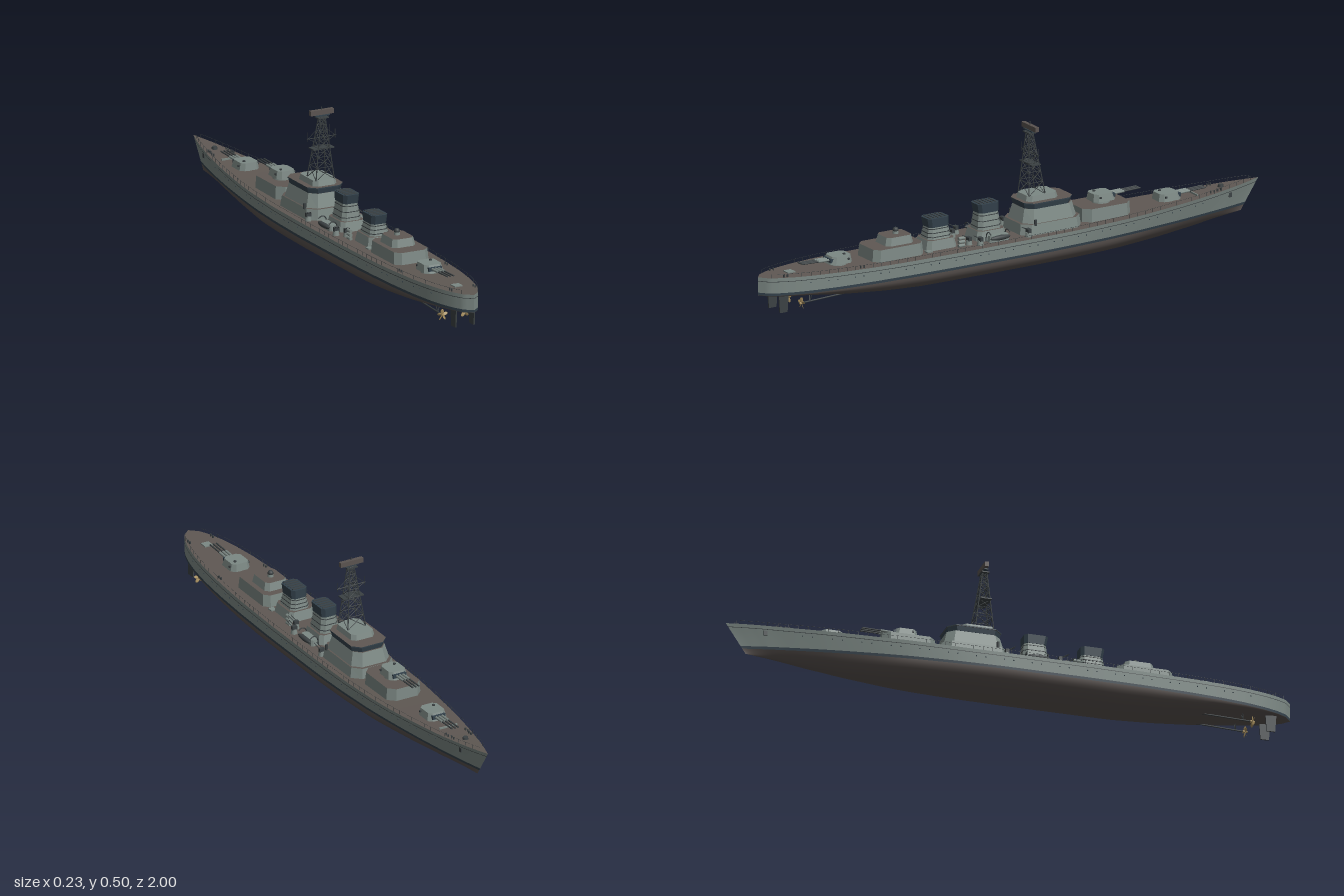
import * as THREE from 'three';
import { mergeGeometries } from 'three/addons/utils/BufferGeometryUtils.js';

const paint = (name, color, side = THREE.FrontSide) => Object.assign(new THREE.MeshStandardMaterial({ color, side }), { name });
const grey = paint('warship grey', 0x7c8884);
const deckBrown = paint('deck brown', 0x5f5853);
const bottom = paint('underbody brown', 0x5a5350);
const navy = paint('dark navy', 0x33414b);
const steel = paint('dark steel', 0x3b4143);
const brass = paint('brass', 0xa48c5c);
const V = (x, y, z) => new THREE.Vector3(x, y, z);
const lerp = THREE.MathUtils.lerp;

// piecewise table lookup
function look(table, z) {
  let i = 1;
  while (i < table.length - 1 && z > table[i][0]) i++;
  const [a, b] = [table[i - 1], table[i]];
  return lerp(a[1], b[1], THREE.MathUtils.clamp((z - a[0]) / (b[0] - a[0]), 0, 1));
}
const BEAM = [[-1, 0], [-.95, .016], [-.9, .03], [-.8, .052], [-.7, .07], [-.6, .084], [-.5, .096], [-.4, .105], [-.25, .112], [-.05, .115],
  [.25, .115], [.45, .111], [.6, .104], [.72, .094], [.82, .08], [.89, .064], [.94, .047], [.975, .029], [1, 0]];
const SHEER = [[-1, .155], [-.8, .143], [-.5, .132], [-.2, .127], [.5, .126], [1, .131]];
const KEEL = [[-1, .05], [-.9, .04], [-.8, .027], [-.65, .013], [-.5, .006], [-.3, .003], [.35, .004], [.5, .012], [.67, .028], [.85, .052], [1, .066]];
const WATER = .068, STRIPE = .077;

const beam = s => look(BEAM, s * 2 - 1), sheer = s => look(SHEER, s * 2 - 1);
const hullZ = (s, y) => lerp(-.93 - .07 * (y - .05) / .105, 1, s);
const waterBeam = s => beam(s) * (s < .45 ? lerp(.62, .98, Math.sqrt(s / .45)) : .98);
// a point on the topsides; y above the water, d pushes it outward
function side(s, y, m = 1, d = 0) {
  const k = (y - WATER) / (sheer(s) - WATER);
  return V(m * (lerp(waterBeam(s), beam(s), k) + d), y, hullZ(s, y));
}
function belly(s, a) { // a from -1 to 1 around the girth
  const u = Math.abs(a), keel = look(KEEL, s * 2 - 1);
  const y = keel + (WATER - keel) * (1 - Math.cos(u * Math.PI / 2));
  const full = Math.min(1, s * 3.5);
  return V(Math.sign(a) * waterBeam(s) * lerp(Math.pow(u, 1.2), Math.sin(u * Math.PI / 2), full), y, hullZ(s, y));
}
// surface from a rule f(s, t)
function grid(f, ni, nj) {
  const p = [], idx = [];
  for (let i = 0; i <= ni; i++) for (let j = 0; j <= nj; j++) {
    p.push(...f(.5 - .5 * Math.cos(Math.PI * i / ni), j / nj).toArray());
    const a = i * (nj + 1) + j, c = a + nj + 1;
    if (i < ni && j < nj) idx.push(a, a + 1, c, a + 1, c + 1, c);
  }
  const g = new THREE.BufferGeometry();
  g.setAttribute('position', new THREE.Float32BufferAttribute(p, 3));
  g.setIndex(idx);
  g.computeVertexNormals();
  return g;
}
function add(parent, name, geo, mat, x = 0, y = 0, z = 0) {
  const m = new THREE.Mesh(geo, mat);
  m.name = name;
  m.position.set(x, y, z);
  parent.add(m);
  return m;
}
const box = (w, h, d) => new THREE.BoxGeometry(w, h, d);
const cyl = (a, b, h, n = 16) => new THREE.CylinderGeometry(a, b, h, n);
function rod(a, b, r, n = 5) {
  const d = b.clone().sub(a), g = cyl(r, r, d.length(), n);
  g.applyQuaternion(new THREE.Quaternion().setFromUnitVectors(V(0, 1, 0), d.normalize()));
  return g.translate(...a.clone().add(b).multiplyScalar(.5).toArray());
}
// chamfered block, half sizes w and d, narrowing to scale tx, tz at the top
function block(w, d, h, c, tx = 1, tz = 1, shift = 0) {
  const pts = [[w, d - c], [w - c, d], [c - w, d], [-w, d - c], [-w, c - d], [c - w, -d], [w - c, -d], [w, c - d]];
  const g = new THREE.ExtrudeGeometry(new THREE.Shape(pts.map(q => new THREE.Vector2(...q))), { depth: h, bevelEnabled: false });
  g.rotateX(-Math.PI / 2);
  const p = g.attributes.position;
  for (let i = 0; i < p.count; i++) if (p.getY(i) > h / 2) p.setXYZ(i, p.getX(i) * tx, h, p.getZ(i) * tz + shift);
  g.computeVertexNormals();
  return g;
}

function turret(name, y, z, dir) {
  const t = new THREE.Group();
  t.name = name;
  t.position.set(0, y, z);
  t.rotation.y = dir > 0 ? 0 : Math.PI;
  add(t, 'barbette', cyl(.03, .032, .014, 20), grey, 0, .005);
  add(t, 'gunhouse', block(.037, .043, .026, .014, .86, .84, -.003), grey, 0, .011);
  add(t, 'mantlet', box(.05, .013, .012), navy, 0, .024, .037);
  add(t, 'hatch', cyl(.005, .005, .004, 10), steel, .014, .039, -.018);
  add(t, 'rangefinder', box(.078, .006, .007), steel, 0, .026, -.022);
  for (const x of [-.012, 0, .012]) {
    add(t, 'barrel', rod(V(x, .025, .04), V(x, .028, .15), .0028, 8), steel);
    add(t, 'barrelSleeve', rod(V(x, .025, .038), V(x, .0265, .085), .0045, 8), grey);
  }
  return t;
}

function funnel(name, z, top) {
  const f = new THREE.Group(), h = top - .16;
  f.name = name;
  f.position.z = z;
  add(f, 'funnelBase', block(.052, .062, .04, .014, .85, .85), [deckBrown, grey], 0, .12);
  add(f, 'stack', block(.037, .046, h - .032, .014, .74, .84), grey, 0, .16);
  add(f, 'cap', block(.029, .039, .032, .01, 1.06, 1.08, .003), navy, 0, top - .032);
  for (let i = 0; i < 3; i++) {
    const k = (i + .5) / 3;
    add(f, 'stackBand', block(lerp(.038, .0285, k), lerp(.047, .04, k), .0025, .013), steel, 0, .16 + (h - .032) * k);
  }
  for (let i = -2; i <= 2; i++) add(f, 'capGrille', box(.048, .004, .005), steel, 0, top, .003 + i * .015);
  return f;
}

function lattice() {
  const m = new THREE.Group(), rods = [], y0 = .25, y1 = .468;
  m.name = 'latticeMast';
  const corner = (k, i) => {
    const [sx, sz] = [[1, 1], [1, -1], [-1, -1], [-1, 1]][i % 4];
    return V(sx * lerp(.035, .008, k), lerp(y0, y1, k), lerp(-.094, -.085, k) + sz * lerp(.032, .008, k));
  };
  const levels = [0, .2, .37, .51, .64, .76, .88, 1];
  for (let i = 0; i < 4; i++) {
    rods.push(rod(corner(0, i), corner(1, i), .0021));
    for (let l = 1; l < levels.length; l++) {
      const [a, b] = [levels[l - 1], levels[l]];
      rods.push(rod(corner(a, i), corner(b, i + 1), .0012), rod(corner(a, i + 1), corner(b, i), .0012), rod(corner(b, i), corner(b, i + 1), .0013));
    }
  }
  const z = -.088;
  rods.push(rod(V(-.056, .395, z), V(.056, .395, z), .0017), rod(V(0, .46, z), V(0, .503, z), .0018), rod(V(.03, .36, z), V(.03, .436, z), .0008));
  for (const s of [-1, 1]) rods.push(rod(V(s * .052, .385, z), V(s * .052, .418, z), .001),
    rod(V(s * .052, .395, z), V(s * .008, .432, z), .0008), rod(V(s * .052, .395, z), V(s * .016, .375, z), .001));
  add(m, 'mastLattice', mergeGeometries(rods), steel);
  add(m, 'mastPlatform', box(.08, .004, .036), steel, 0, .358, z);
  add(m, 'mastTop', box(.04, .004, .028), steel, 0, .466, -.085);
  add(m, 'radarBracket', box(.056, .004, .014), navy, 0, .473, -.085);
  add(m, 'radarAntenna', box(.088, .017, .014), bottom, 0, .484, -.088);
  return m;
}

export function createModel() {
  const ship = new THREE.Group();
  ship.name = 'warship';

  // hull and deck
  add(ship, 'underbody', grid((s, t) => belly(s, t * 2 - 1), 70, 20), bottom);
  for (const m of [1, -1]) {
    const strip = (name, lo, hi, mat, d = 0) => add(ship, name, grid((s, t) => {
      const k = m > 0 ? t : 1 - t;
      return side(s, lerp(lo(s), hi(s), k), m, s > 0 && s < 1 ? d : 0);
    }, 70, 3), mat);
    strip('waterlineStripe', () => WATER, () => STRIPE, navy);
    strip('topsides', () => STRIPE, sheer, grey);
    strip('rubbingStrake', s => sheer(s) - .014, s => sheer(s) - .012, steel, .0012);
  }
  add(ship, 'mainDeck', grid((s, t) => V(beam(s) * (1 - 2 * t), sheer(s), hullZ(s, sheer(s))), 70, 2), deckBrown);

  // railings and portholes
  const rails = [], ports = [];
  for (const m of [1, -1]) {
    let last = null;
    for (let i = 1; i < 60; i++) {
      const s = i / 60, p = side(s, sheer(s), m, -.002), q = p.clone().setY(p.y + .013);
      rails.push(rod(p, q, .0007, 4));
      if (last) rails.push(rod(last, q, .0005, 4));
      last = q;
      if (i > 5 && i < 56 && i % 3) ports.push(new THREE.SphereGeometry(.0022, 8, 6).translate(...side(s, sheer(s) - .024, m).toArray()));
    }
    add(ship, 'anchor', box(.005, .016, .012), steel, ...side(.055, .122, m, .001).toArray());
  }
  add(ship, 'railings', mergeGeometries(rails), steel);
  add(ship, 'portholes', mergeGeometries(ports), navy);

  // forward and after deckhouses
  add(ship, 'forwardDeckhouse', block(.067, .097, .052, .025, .95, .97), [deckBrown, grey], 0, .122, -.365);
  add(ship, 'afterDeckhouse', block(.067, .102, .046, .02, .95, .95), [deckBrown, grey], 0, .122, .47);
  add(ship, 'afterUpperHouse', block(.045, .055, .028, .014, .88, .88), [deckBrown, grey], 0, .168, .455);
  add(ship, 'directorPedestal', cyl(.009, .011, .014), grey, 0, .2, .45);
  add(ship, 'director', new THREE.SphereGeometry(.01, 14, 10), steel, 0, .209, .45);

  // bridge
  add(ship, 'bridgeBase', block(.085, .122, .042, .03, .93, .96), [deckBrown, grey], 0, .122, -.135);
  add(ship, 'bridgeTower', block(.074, .107, .048, .028, .84, .88), [deckBrown, grey], 0, .164, -.135);
  add(ship, 'bridgeWindows', block(.063, .091, .017, .025, 1.05, 1.04), navy, 0, .212, -.133);
  add(ship, 'bridgeRoof', block(.068, .096, .004, .026), [deckBrown, navy], 0, .229, -.133);
  add(ship, 'upperBridge', block(.046, .063, .019, .015, .92, .92), grey, 0, .233, -.115);
  ship.add(lattice());

  // main guns and funnels
  ship.add(turret('foremostTurret', .13, -.632, -1), turret('raisedTurret', .172, -.37, -1), turret('afterTurret', .124, .682, 1));
  ship.add(funnel('forwardFunnel', .09, .25), funnel('afterFunnel', .29, .232));

  // light guns, davits, rafts and vents on both sides
  for (const m of [1, -1]) {
    for (const [x, z] of [[.053, .19], [.078, .16], [.082, -.03]]) {
      const g = new THREE.Group();
      g.name = 'lightGun';
      g.position.set(m * x, .125, z);
      add(g, 'gunMount', cyl(.009, .012, .018, 12), grey, 0, .009);
      add(g, 'gunShield', box(.018, .014, .012), steel, 0, .023);
      for (const k of [-.005, .005]) add(g, 'gunBarrel', rod(V(k, .025, 0), V(k + m * .008, .04, .028), .0013), steel);
      ship.add(g);
    }
    add(ship, 'sideLocker', block(.014, .04, .026, .006, .9, .9), grey, m * .064, .122, .08);
    for (const z of [.045, .12]) {
      const path = new THREE.CatmullRomCurve3([V(m * .05, .126, z), V(m * .056, .155, z), V(m * .07, .162, z), V(m * .084, .154, z)]);
      add(ship, 'davit', new THREE.TubeGeometry(path, 10, .002, 6), steel);
    }
    add(ship, 'boat', new THREE.SphereGeometry(1, 16, 10).scale(.009, .009, .04), steel, m * .083, .142, .083);
    for (let i = 0; i < 3; i++) add(ship, 'lifeRaft', cyl(.006, .006, .024, 10).rotateX(Math.PI / 2), grey, m * .061, .131 + i * .013, .225);
    add(ship, 'deckHatch', box(.02, .005, .022), grey, m * .052, .128, .35);
    add(ship, 'bridgeLamp', cyl(.005, .005, .02, 10), steel, m * .08, .17, -.06);
    for (const [x, z] of [[.034, -.83], [.038, -.8], [.088, .63], [.045, .91]]) for (const e of [0, .014])
      add(ship, 'bollard', cyl(.003, .003, .009, 8), steel, m * x, sheer((z + 1) / 2) + .004, z + e);
  }
  add(ship, 'sternHatch', box(.03, .005, .03), grey, 0, .131, .875);
  add(ship, 'anchorWindlass', cyl(.009, .011, .012, 14), steel, 0, .149, -.85);
  add(ship, 'breakwater', box(.07, .01, .004), grey, 0, .142, -.735);

  // rudders, shafts and propellers
  for (const m of [1, -1]) {
    const blade = new THREE.Shape([[-.9, .072], [-.94, .072], [-.935, .003], [-.905, .003]].map(q => new THREE.Vector2(...q)));
    add(ship, 'rudder', new THREE.ExtrudeGeometry(blade, { depth: .005, bevelEnabled: false }).rotateY(Math.PI / 2), steel, m * .035 - .0025);
    add(ship, 'propellerShaft', rod(V(m * .043, .027, .86), V(m * .04, .036, .6), .0028, 8), steel);
    for (const x of [.03, .05]) add(ship, 'shaftBracket', rod(V(m * .043, .027, .82), V(m * x, .06, .815), .0018), steel);
    const prop = new THREE.Group();
    prop.name = 'propeller';
    prop.position.set(m * .043, .027, .853);
    add(prop, 'hub', cyl(.0035, .005, .016, 12).rotateX(Math.PI / 2), brass);
    for (let i = 0; i < 5; i++) {
      const b = new THREE.SphereGeometry(1, 10, 8).scale(.0058, .0095, .001).rotateY(m * .6).translate(0, .011, 0);
      add(prop, 'propellerBlade', b.rotateZ(i * Math.PI * .4), brass);
    }
    ship.add(prop);
  }
  return ship;
}
